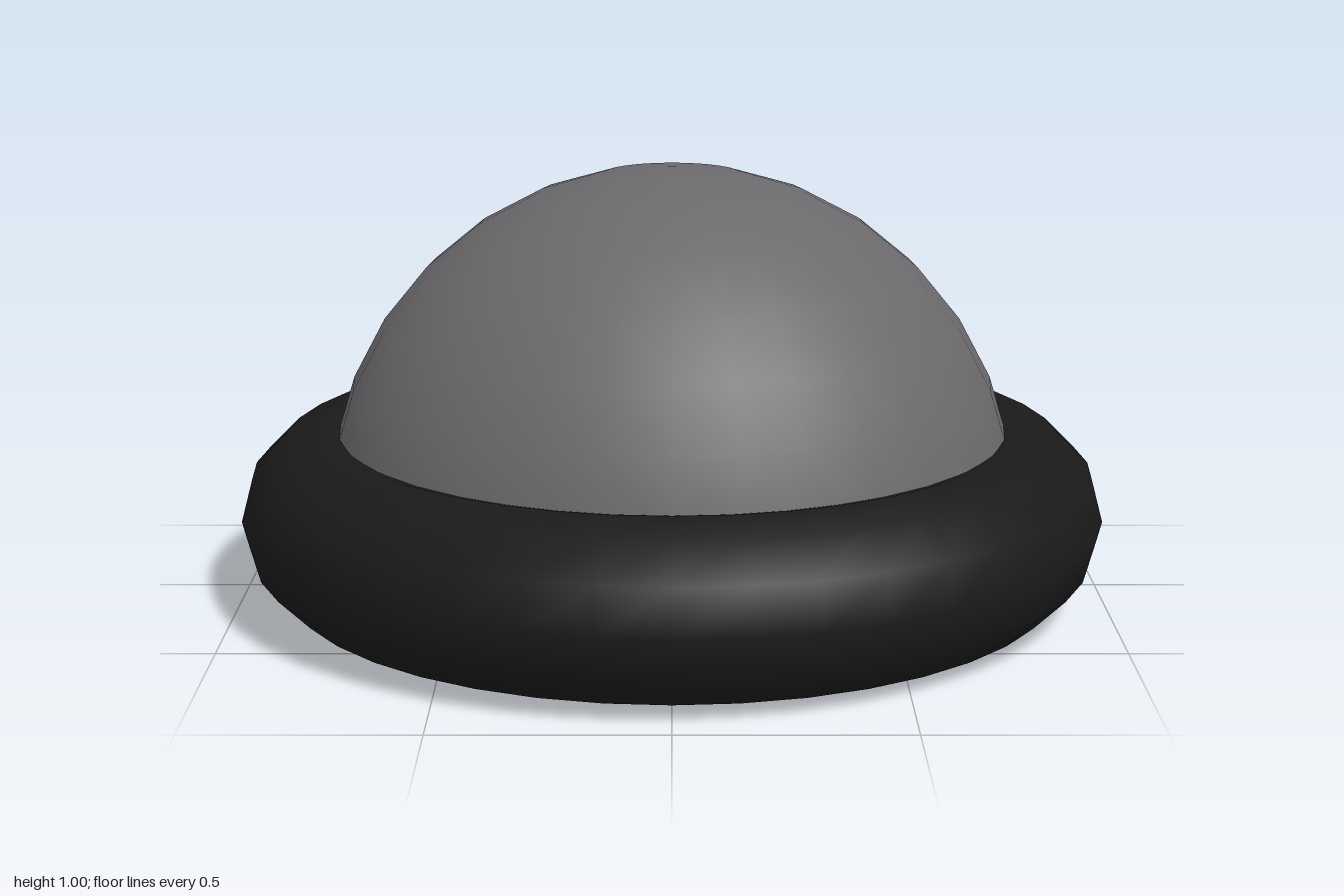
import * as THREE from 'three';

export function createModel() {
  const group = new THREE.Group();
  const add = (name, geometry, material) => {
    const mesh = new THREE.Mesh(geometry, material);
    mesh.name = name;
    mesh.position.y = 0.2;
    group.add(mesh);
    return mesh;
  };

  // Open, hollow half-sphere, visible from inside through the ring
  add(
    'dome',
    new THREE.SphereGeometry(0.8, 32, 8, 0, Math.PI * 2, 0, Math.PI / 2),
    new THREE.MeshStandardMaterial({ color: 0x6b696c, side: THREE.DoubleSide })
  );

  // Thick ring lying flat around the dome's rim
  const ring = add(
    'baseRing',
    new THREE.TorusGeometry(0.8, 0.2, 12, 40),
    new THREE.MeshStandardMaterial({ color: 0x1a1a1a })
  );
  ring.rotation.x = Math.PI / 2;

  return group;
}
